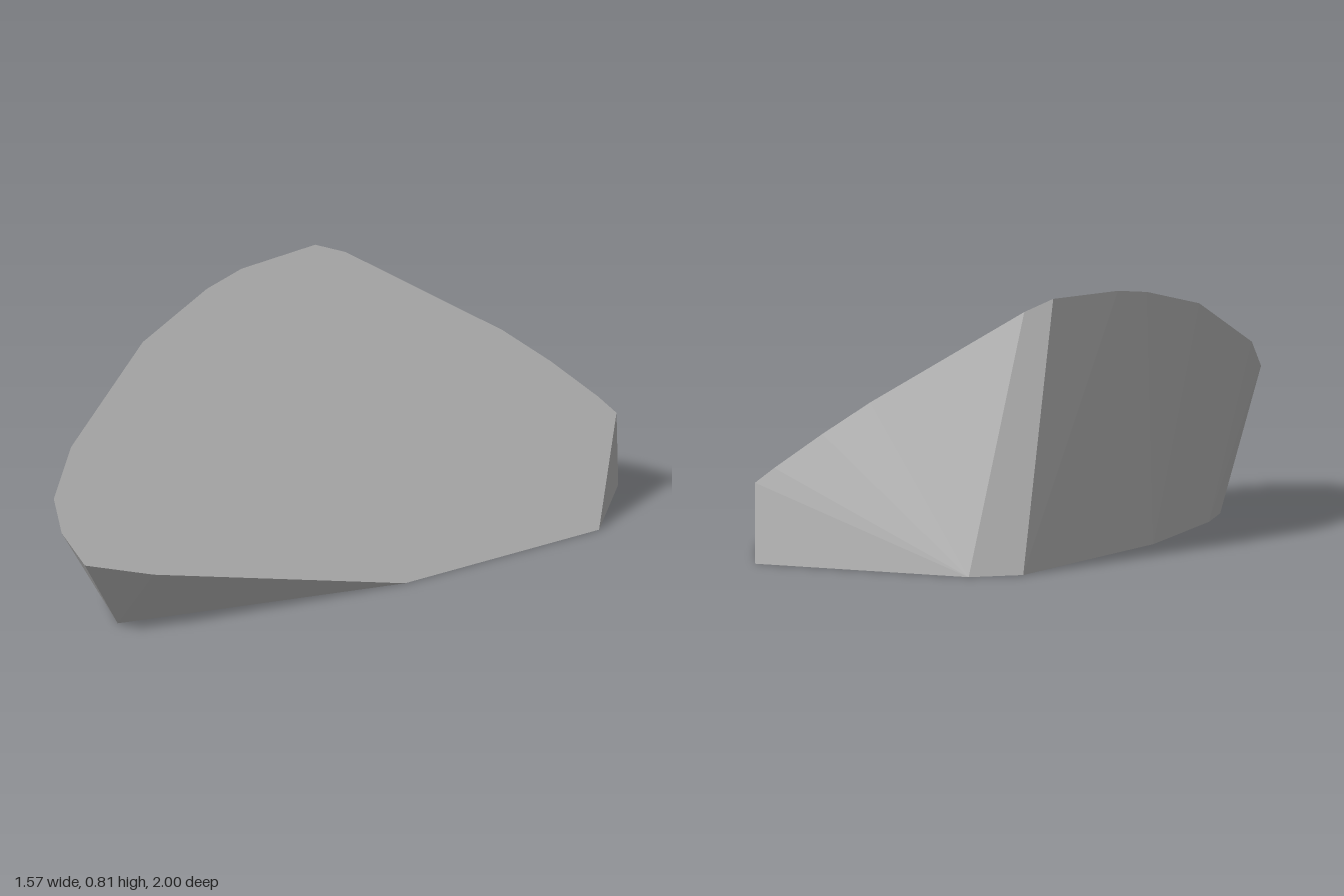
import * as THREE from 'three';
import { ConvexGeometry } from 'three/addons/geometries/ConvexGeometry.js';

// Sloping cut plane: A x + B y + C z = D
const A = 0.51, B = 0.73, C = 0.45, D = 0.281;

export function createModel() {
  const group = new THREE.Group();
  group.name = 'rock';
  const stone = new THREE.MeshStandardMaterial({ color: 0xbcbcbc });
  stone.name = 'grey stone';

  // Rim of the large flat face (x, z); height follows from the plane
  const rim = [
    [0.78, -0.665], [0.72, -0.675], [0.57, -0.68], [0.42, -0.67], [0.18, -0.615],
    [-0.06, -0.565], [-0.15, -0.52], [-0.35, -0.28], [-0.44, -0.14], [-0.6, 0.17],
    [-0.76, 0.66], [-0.787, 0.86], [-0.75, 0.95], [-0.67, 1.0], [-0.47, 0.875],
  ].map(([x, z]) => new THREE.Vector3(x, (D - A * x - C * z) / B, z));

  // Corners where the flat face meets the ground
  const toe = [0.25, 0.78].map((x) => new THREE.Vector3(x, 0, (D - A * x) / C));

  // Remaining outline of the base (x, z)
  const base = [
    [0.78, -0.705], [0.11, -1.0], [-0.06, -0.95], [-0.46, -0.26], [-0.63, 0.24],
    [-0.663, 0.43], [-0.648, 0.63], [-0.587, 0.85],
  ].map(([x, z]) => new THREE.Vector3(x, 0, z));

  const rock = new THREE.Mesh(new ConvexGeometry([...rim, ...toe, ...base]), stone);
  rock.name = 'rockBody';
  group.add(rock);
  return group;
}
